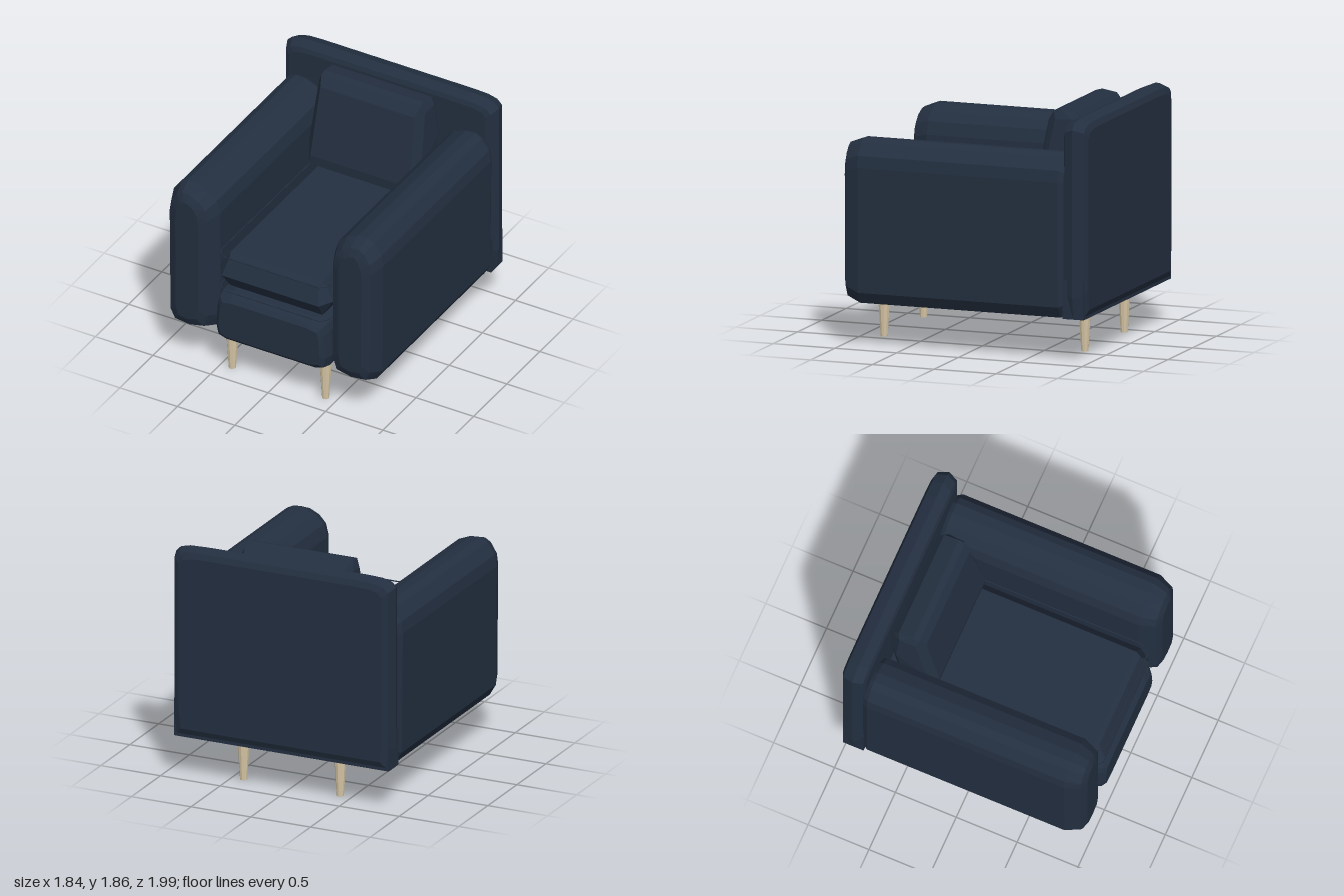
import * as THREE from 'three';
import { ConvexGeometry } from 'three/addons/geometries/ConvexGeometry.js';

const fabric = new THREE.MeshStandardMaterial({ color: 0x232f40, flatShading: true });
fabric.name = 'navy fabric';
const wood = new THREE.MeshStandardMaterial({ color: 0xd6c6a5, flatShading: true });
wood.name = 'pale wood';

function addMesh(group, name, geometry, material) {
  const mesh = new THREE.Mesh(geometry, material);
  mesh.name = name;
  group.add(mesh);
  return mesh;
}

// Faceted upholstery: an x-y outline repeated at stations [z, inset], shrinking by the inset.
function padded(outline, stations) {
  const box = new THREE.Box2().setFromPoints(outline.map(([x, y]) => new THREE.Vector2(x, y)));
  const c = box.getCenter(new THREE.Vector2());
  const s = box.getSize(new THREE.Vector2());
  const points = [];
  for (const [z, inset] of stations) {
    for (const [x, y] of outline) {
      points.push(new THREE.Vector3(
        c.x + (x - c.x) * (1 - 2 * inset / s.x),
        c.y + (y - c.y) * (1 - 2 * inset / s.y), z));
    }
  }
  return new ConvexGeometry(points);
}

// Complete a half outline (x > 0) with its mirror image.
const mirrored = (half) => [...half, ...half.map(([x, y]) => [-x, y])];

export function createModel() {
  const group = new THREE.Group();
  group.name = 'armchair';

  // Arms
  for (const side of [1, -1]) {
    const outline = [
      [0.50, 0.46], [0.54, 0.35], [0.70, 0.32], [0.86, 0.335], [0.91, 0.42],
      [0.92, 1.38], [0.905, 1.47], [0.84, 1.56], [0.78, 1.59], [0.70, 1.585],
      [0.60, 1.545], [0.53, 1.48], [0.50, 1.38],
    ].map(([x, y]) => [x * side, y]);
    addMesh(group, side > 0 ? 'leftArm' : 'rightArm',
      padded(outline, [[-0.81, 0.02], [-0.77, 0], [0.85, 0], [0.965, 0.045], [0.995, 0.11]]), fabric);
  }

  // Back panel
  const backOutline = mirrored([
    [0.90, 0.335], [0.92, 0.5], [0.92, 1.79], [0.88, 1.83], [0.80, 1.85], [0.67, 1.855],
  ]);
  addMesh(group, 'backPanel',
    padded(backOutline, [[-0.80, 0.065], [-0.815, 0.03], [-0.89, 0], [-0.975, 0.025], [-0.995, 0.07]]), fabric);
  addMesh(group, 'backPanelFoot', new THREE.BoxGeometry(1.80, 0.3, 0.17).translate(0, 0.485, -0.89), fabric);

  // Seat base
  const baseOutline = mirrored([
    [0.40, 0.32], [0.47, 0.345], [0.49, 0.44], [0.475, 0.66], [0.455, 0.72], [0.36, 0.74],
  ]);
  addMesh(group, 'seatBase', padded(baseOutline, [[-0.85, 0], [0.88, 0], [0.955, 0.015], [0.985, 0.05]]), fabric);

  // Seat cushion, with a ridge along its front
  const cushion = [];
  for (const s of [1, -1]) {
    for (const [x, y, z] of [
      [0.40, 1.075, 0.87], [0.49, 0.92, 0.87], [0.42, 0.91, 0.97], [0.385, 1.05, 0.91],
      [0.40, 0.77, 0.87], [0.40, 1.075, -0.82], [0.49, 0.92, -0.82], [0.40, 0.77, -0.82],
    ]) cushion.push(new THREE.Vector3(x * s, y, z));
  }
  addMesh(group, 'seatCushion', new ConvexGeometry(cushion), fabric);

  // Piping around the cushion, above and below
  for (const [name, y] of [['upperPiping', 1.075], ['lowerPiping', 0.77]]) {
    const path = new THREE.CurvePath();
    const loop = [[0.47, -0.8], [0.475, 0.90], [0.42, 0.955], [-0.42, 0.955], [-0.475, 0.90], [-0.47, -0.8]]
      .map(([x, z]) => new THREE.Vector3(x, y, z));
    loop.forEach((p, i) => path.add(new THREE.LineCurve3(p, loop[(i + 1) % loop.length])));
    addMesh(group, name, new THREE.TubeGeometry(path, 90, 0.005, 5, true), fabric);
  }

  // Leaning back cushion: side profile [z, y, half width], hulled across x
  const pillow = [];
  for (const [z, y, w] of [
    [-0.45, 1.09, 0.43], [-0.39, 1.12, 0.44], [-0.385, 1.20, 0.43], [-0.50, 1.76, 0.41],
    [-0.55, 1.835, 0.43], [-0.60, 1.85, 0.43], [-0.72, 1.83, 0.43], [-0.775, 1.77, 0.42],
    [-0.79, 1.60, 0.43], [-0.72, 1.11, 0.43],
    [-0.48, 1.15, 0.475], [-0.47, 1.30, 0.485], [-0.57, 1.77, 0.46],
    [-0.70, 1.78, 0.465], [-0.72, 1.5, 0.485], [-0.66, 1.16, 0.475],
  ]) {
    pillow.push(new THREE.Vector3(w, y, z), new THREE.Vector3(-w, y, z));
  }
  addMesh(group, 'backCushion', new ConvexGeometry(pillow), fabric);

  // Tapered legs
  for (const x of [-0.405, 0.405]) {
    for (const z of [0.835, -0.79]) {
      const leg = addMesh(group, z > 0 ? 'frontLeg' : 'backLeg',
        new THREE.CylinderGeometry(0.05, 0.028, 0.35, 10), wood);
      leg.position.set(x, 0.175, z);
    }
  }
  return group;
}
